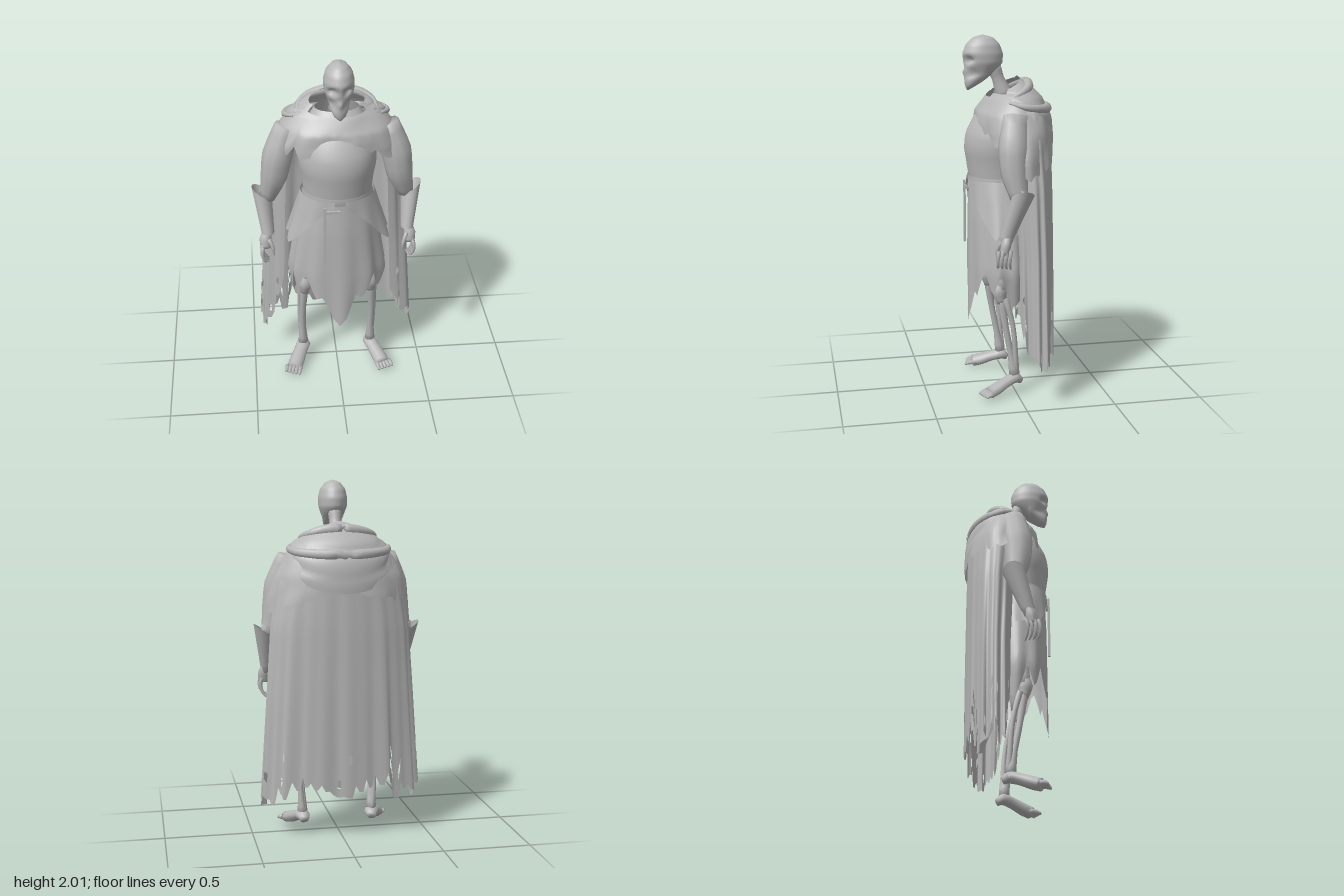
import * as THREE from 'three';

const clay = new THREE.MeshStandardMaterial({ color: 0xb6b6b6, side: THREE.DoubleSide });
clay.name = 'grey clay';
const { sin, cos, PI, abs, exp } = Math;
const rad = (d) => d * PI / 180;

// Seeded noise for torn hems
const hash = (n) => { const s = sin(n * 127.1 + 3.7) * 43758.5453; return s - Math.floor(s); };

// Linear lookup in rows whose first column rises or falls steadily
function lookup(rows, k) {
  const up = rows[0][0] < rows[rows.length - 1][0];
  const t = up ? rows : [...rows].reverse();
  if (k <= t[0][0]) return t[0];
  for (let i = 1; i < t.length; i++) {
    if (k <= t[i][0]) {
      const m = (k - t[i - 1][0]) / (t[i][0] - t[i - 1][0]);
      return t[i].map((b, j) => t[i - 1][j] + (b - t[i - 1][j]) * m);
    }
  }
  return t[t.length - 1];
}

// Point on an oval section: rows are [y, half width, front z, back z], angle 0 is the front
function oval(rows, y, a, grow = 1) {
  const [, w, f, b] = lookup(rows, y);
  return [w * grow * sin(a), y, (f + b) / 2 + (f - b) / 2 * grow * cos(a)];
}

// Smooth grid surface; hole(i, j) leaves out a cell
function sheet(name, nu, nv, closed, f, hole) {
  const pos = [], idx = [], cols = closed ? nu : nu + 1;
  for (let j = 0; j <= nv; j++) for (let i = 0; i < cols; i++) pos.push(...f(i / nu, j / nv, i));
  for (let j = 0; j < nv; j++) for (let i = 0; i < nu; i++) {
    if (hole && hole(i, j)) continue;
    const a = j * cols + i, b = j * cols + (i + 1) % cols, c = a + cols, d = b + cols;
    idx.push(a, c, b, b, c, d);
  }
  const g = new THREE.BufferGeometry();
  g.setAttribute('position', new THREE.Float32BufferAttribute(pos, 3));
  g.setIndex(idx);
  g.computeVertexNormals();
  const m = new THREE.Mesh(g, clay);
  m.name = name;
  return m;
}

// Tapered limb through points [x, y, z, radius]; flat scales the depth
function limb(name, pts, { sides = 10, flat = 1, steps = 3, cap = true } = {}) {
  const p = cap ? [[...pts[0].slice(0, 3), 0], ...pts, [...pts[pts.length - 1].slice(0, 3), 0]] : pts;
  const path = new THREE.CatmullRomCurve3(pts.map((q) => new THREE.Vector3(q[0], q[1], q[2])));
  const n = pts.length - 1, total = n * steps;
  return sheet(name, sides, total + (cap ? 2 : 0), true, (u, v) => {
    let k = v * (total + (cap ? 2 : 0)) - (cap ? 1 : 0), end = cap && (k < -0.5 || k > total + 0.5);
    const t = Math.min(1, Math.max(0, k / total));
    const i = Math.min(n - 1, Math.floor(t * n)), q = t * n - i;
    const r = end ? 0 : pts[i][3] + (pts[i + 1][3] - pts[i][3]) * q;
    const c = path.getPoint(t), tan = path.getTangent(t);
    const side = new THREE.Vector3(1, 0, 0).addScaledVector(tan, -tan.x).normalize();
    const other = new THREE.Vector3().crossVectors(tan, side);
    c.addScaledVector(side, r * cos(u * 2 * PI)).addScaledVector(other, r * flat * sin(u * 2 * PI));
    return c.toArray();
  });
}

function makeHead() {
  const rows = [[2, 0, 0.16, 0.14], [1.988, 0.04, 0.2, 0.09], [1.95, 0.07, 0.24, 0.052], [1.9, 0.082, 0.26, 0.033],
    [1.85, 0.08, 0.255, 0.035], [1.82, 0.07, 0.245, 0.055], [1.79, 0.06, 0.25, 0.09], [1.75, 0.045, 0.25, 0.14],
    [1.72, 0.03, 0.245, 0.19], [1.7, 0, 0.235, 0.225]];
  const g = new THREE.Group();
  g.name = 'head';
  g.add(sheet('skull', 28, 28, true, (u, v) => {
    const p = oval(rows, 2 - 0.3 * v ** 1.1, u * 2 * PI);
    if (p[2] > 0.15) { // sunken eyes and cheeks, narrow nose ridge
      const d = (x, y, s) => exp(-(((abs(p[0]) - x) / s) ** 2) - ((p[1] - y) / s) ** 2);
      p[2] -= 0.04 * d(0.04, 1.865, 0.02) + 0.03 * d(0.045, 1.79, 0.025) - 0.012 * d(0, 1.8, 0.02);
    }
    return p;
  }));
  g.add(limb('neck', [[0, 1.83, 0.085, 0.04], [0, 1.76, 0.06, 0.034], [0, 1.66, 0.02, 0.05]]));
  return g;
}

const mantleRows = [[1.78, 0.06, 0.05, -0.04], [1.72, 0.165, 0.07, -0.12], [1.66, 0.25, 0.13, -0.175], [1.58, 0.31, 0.185, -0.21],
  [1.48, 0.36, 0.2, -0.232], [1.35, 0.395, 0.19, -0.235], [1.2, 0.41, 0.15, -0.235]];

function makeCloak() {
  const g = new THREE.Group();
  g.name = 'cloak';
  // Long torn cape, open at the front
  const rows = [[1.7, 0.17, 0.05, -0.13], [1.6, 0.29, 0.1, -0.195], [1.45, 0.35, 0.1, -0.22], [1.2, 0.39, 0.07, -0.225],
    [0.8, 0.415, 0.05, -0.225], [0.15, 0.455, 0.04, -0.22]];
  g.add(sheet('cape', 96, 30, false, (u, v, i) => {
    const s = u * 2 - 1, a = PI + s * rad(132);
    const hem = 0.22 - 0.05 * abs(s) + 0.16 * hash(Math.floor(i / 3)) * (i % 3 ? 0.6 : 1) + (abs(s) > 0.88 ? (abs(s) - 0.88) * 2.2 : 0);
    const y = 1.7 + (hem - 1.7) * v;
    return oval(rows, y, a, 1 + v * (0.035 * sin(s * 31) + 0.025 * sin(s * 53 + 1)));
  }, (i, j) => j > 24 && j < 29 && hash(i * 3.3 + j * 17.9) > 0.965));
  // Shoulder mantle, longer over the left arm
  const hems = [[-180, 1.4], [-120, 1.34], [-85, 1.36], [-60, 1.4], [-45, 1.5], [-32, 1.44], [-10, 1.48], [15, 1.5], [35, 1.47],
    [60, 1.36], [85, 1.25], [120, 1.3], [180, 1.4]];
  g.add(sheet('mantle', 72, 18, true, (u, v) => {
    const d = u * 360 - 180, a = rad(d);
    const top = 1.72 - 0.055 * cos(a), hem = lookup(hems, d)[1] + 0.012 * sin(d * 0.4);
    const wave = 1 + 0.02 * v * sin(a * 9) + 0.012 * sin(a * 5 + v * 8);
    return oval(mantleRows, top + (hem - top) * v, a, wave);
  }));
  // Lowered hood hanging as a V on the back
  g.add(sheet('hood', 40, 18, false, (u, v) => {
    const s = u * 2 - 1, a = PI + s * rad(125);
    const hem = 1.66 - 0.27 * Math.max(0, cos(s * PI / 2)) ** 1.6;
    const y = 1.765 + (hem - 1.765) * v - 0.05 * s * s * (1 - v);
    const p = oval(mantleRows, y, a, 1.03 + 0.05 * sin(v * PI) * abs(sin(v * 8)));
    p[0] *= 1 - 0.12 * v * (1 - s * s);
    return p;
  }));
  // Rolled folds of the hood
  for (const [w, y0, y1, r] of [[0.2, 1.665, 1.735, 0.022], [0.24, 1.65, 1.6, 0.022]]) {
    const pts = [];
    for (let i = 0; i <= 8; i++) {
      const s = i / 4 - 1, a = PI + s * rad(115);
      const p = oval(mantleRows, y1 + (y0 - y1) * s * s, a, w > 0.22 ? 1.02 : 1);
      pts.push([...p, 0.008 + r * (1 - s * s)]);
    }
    g.add(limb('hoodFold', pts, { sides: 8 }));
  }
  return g;
}

function makeRobe() {
  const g = new THREE.Group();
  g.name = 'robe';
  const torso = [[1.68, 0.12, 0.08, -0.08], [1.56, 0.2, 0.19, -0.12], [1.46, 0.215, 0.243, -0.13], [1.38, 0.215, 0.252, -0.13],
    [1.3, 0.2, 0.24, -0.12], [1.2, 0.19, 0.225, -0.1]];
  g.add(sheet('torso', 36, 14, true, (u, v) => oval(torso, 1.68 - 0.48 * v, u * 2 * PI)));
  const skirt = [[1.22, 0.19, 0.225, -0.1], [1, 0.235, 0.235, -0.12], [0.7, 0.28, 0.235, -0.13], [0.37, 0.22, 0.235, -0.15]];
  const hems = [[0, 0.37], [10, 0.42], [22, 0.57], [32, 0.55], [46, 0.71], [62, 0.57], [75, 0.7], [95, 0.5], [115, 0.56], [140, 0.32], [180, 0.27]];
  g.add(sheet('skirt', 80, 18, true, (u, v) => {
    const d = u * 360 - 180, a = rad(d), hem = lookup(hems, abs(d))[1];
    return oval(skirt, 1.22 + (hem - 1.22) * v, a, 1 + 0.035 * v * sin(a * 11 + 0.6));
  }));
  // Hip flaps with pointed corners
  const flap = [[1.22, 0.2, 0.235, -0.1], [1.05, 0.25, 0.24, -0.12], [0.9, 0.295, 0.25, -0.13]];
  const flapHem = [[8, 1.17], [30, 1.1], [50, 0.99], [68, 0.9], [80, 0.95], [110, 0.92], [130, 1.0]];
  for (const s of [-1, 1]) {
    g.add(sheet('hipFlap', 30, 8, false, (u, v) => {
      const d = 8 + 122 * u, hem = lookup(flapHem, d)[1];
      return oval(flap, 1.21 + (hem - 1.21) * v, s * rad(d), 1.02 + 0.02 * v * sin(d * 0.2));
    }));
  }
  g.add(sheet('belt', 36, 3, true, (u, v) => oval(torso, 1.225 - 0.045 * v, u * 2 * PI, 1.03 + 0.02 * sin(v * PI))));
  const strap = new THREE.Mesh(new THREE.BoxGeometry(0.014, 0.36, 0.012), clay);
  strap.name = 'hangingStrap';
  strap.position.set(-0.083, 1.0, 0.24);
  g.add(strap);
  const loop = new THREE.Mesh(new THREE.BoxGeometry(0.09, 0.016, 0.012), clay);
  loop.name = 'strapLoop';
  loop.position.set(-0.045, 1.15, 0.24);
  g.add(loop);
  return g;
}

function makeArm(s) {
  const g = new THREE.Group();
  g.name = s > 0 ? 'leftArm' : 'rightArm';
  const add = (name, pts, o) => g.add(limb(name, pts.map(([x, ...r]) => [x * s, ...r]), o));
  add('sleeve', [[0.27, 1.58, 0.02, 0.07], [0.325, 1.42, 0.04, 0.085], [0.35, 1.28, 0.04, 0.075], [0.39, 1.14, 0.02, 0.045]]);
  add('forearm', [[0.4, 1.2, 0.01, 0.03], [0.41, 1.05, 0.04, 0.026], [0.4, 0.92, 0.09, 0.022]]);
  // Flared bracer with a raised outer lip
  g.add(sheet('bracer', 16, 6, true, (u, v) => {
    const a = u * 2 * PI, r = 0.056 - 0.02 * v;
    return [s * (0.42 - 0.025 * v + r * cos(a)), 1.17 - 0.22 * v + 0.035 * cos(a) * (1 - v), 0.01 + 0.08 * v + r * 1.1 * sin(a)];
  }));
  add('palm', [[0.4, 0.96, 0.085, 0.024], [0.41, 0.91, 0.1, 0.034], [0.41, 0.86, 0.11, 0.03]], { flat: 0.8 });
  for (let i = 0; i < 4; i++) {
    const z = 0.075 + i * 0.022;
    add('finger', [[0.425, 0.88, z, 0.011], [0.432, 0.835, z + 0.008, 0.01], [0.415, 0.79, z + 0.004, 0.008], [0.395, 0.768 + 0.006 * i, z - 0.005, 0.004]], { sides: 6, steps: 2 });
  }
  add('thumb', [[0.39, 0.92, 0.12, 0.012], [0.37, 0.87, 0.14, 0.01], [0.365, 0.825, 0.14, 0.005]], { sides: 6, steps: 2 });
  return g;
}

function makeLeg(s) {
  const g = new THREE.Group();
  g.name = s > 0 ? 'leftLeg' : 'rightLeg';
  const add = (name, pts, o) => g.add(limb(name, pts.map(([x, ...r]) => [x * s, ...r]), o));
  add('thigh', [[0.12, 1, 0.04, 0.06], [0.17, 0.75, 0.07, 0.042], [0.19, 0.6, 0.085, 0.036]]);
  add('knee', [[0.19, 0.65, 0.085, 0.025], [0.19, 0.59, 0.092, 0.042], [0.195, 0.52, 0.08, 0.026]]);
  add('shinBone', [[0.195, 0.56, 0.085, 0.027], [0.205, 0.38, 0.06, 0.018], [0.205, 0.22, 0.03, 0.018], [0.205, 0.1, 0.01, 0.03]]);
  add('calfBone', [[0.215, 0.55, 0.06, 0.018], [0.222, 0.38, 0.02, 0.014], [0.215, 0.2, 0.005, 0.016], [0.205, 0.1, 0, 0.02]]);
  add('foot', [[0.2, 0.055, -0.03, 0.025], [0.203, 0.075, 0.005, 0.042], [0.225, 0.06, 0.06, 0.04], [0.25, 0.035, 0.12, 0.045], [0.268, 0.02, 0.165, 0.044]], { flat: 0.75 });
  for (let i = 0; i < 5; i++) {
    const x = 0.228 + i * 0.02, l = 0.03 - i * 0.007;
    add('toe', [[x, 0.022, 0.15, 0.013], [x + 0.008, 0.02, 0.175 + l / 2, 0.012], [x + 0.013, 0.01, 0.19 + l, 0.007]], { sides: 6, steps: 2 });
  }
  return g;
}

export function createModel() {
  const model = new THREE.Group();
  model.name = 'cloakedFigure';
  model.add(makeHead(), makeCloak(), makeRobe());
  for (const s of [-1, 1]) model.add(makeArm(s), makeLeg(s));
  return model;
}
